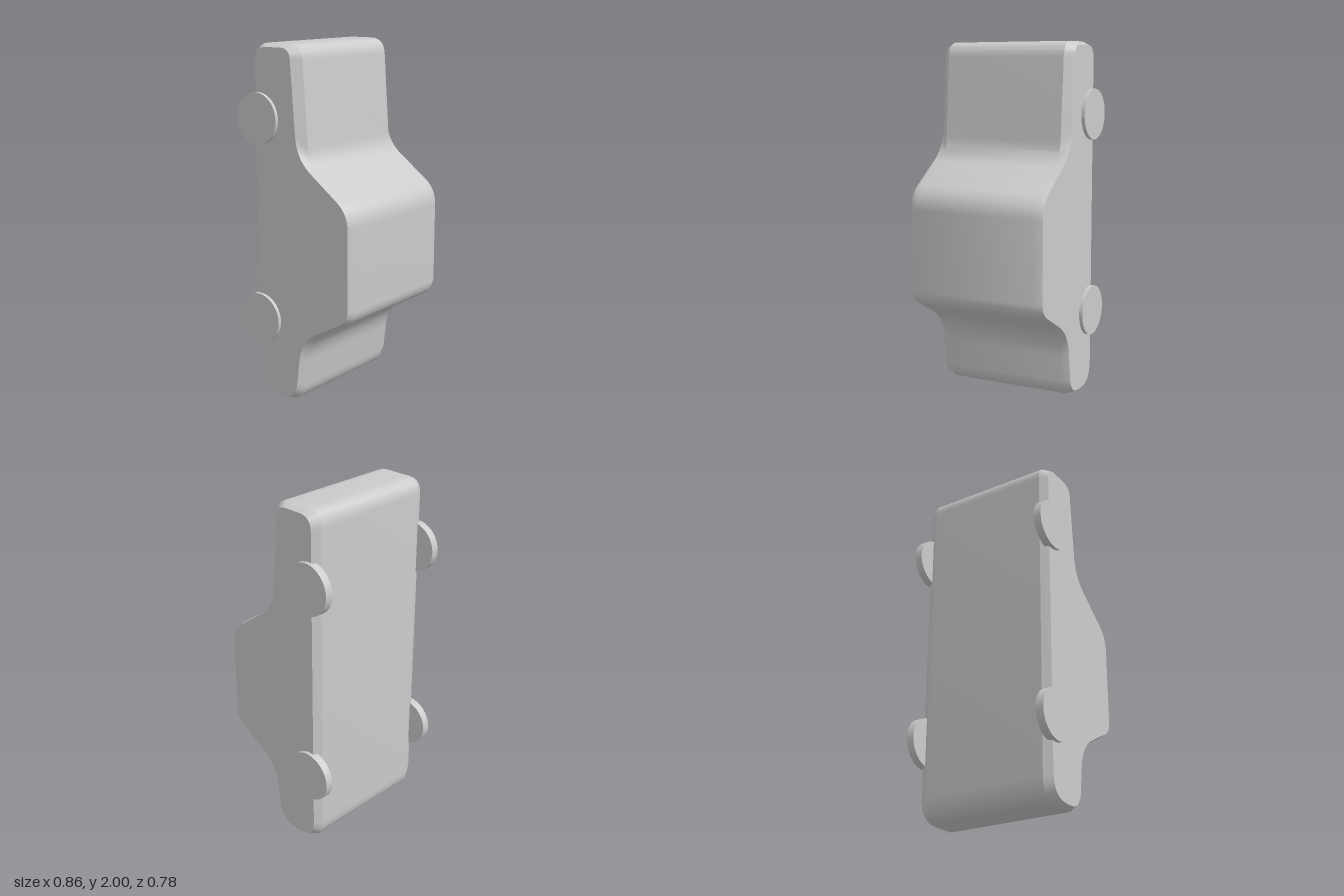
import * as THREE from 'three';
import { toCreasedNormals } from 'three/addons/utils/BufferGeometryUtils.js';

const material = new THREE.MeshStandardMaterial({ color: 0xcccccc });

// Corners are [z, y, rounding distance], running from the underside's tail end round the silhouette.
const outerCorners = [
  [-0.29, 0, 0.13], [0.015, 0, 0.1], [0.065, 0.375, 0.13], [0.39, 0.555, 0.06],
  [0.39, 1.153, 0.09], [0.07, 1.37, 0.09], [0.025, 2, 0.09], [-0.29, 2, 0.09],
];
const innerCorners = [
  [-0.265, 0.02, 0.13], [0, 0.02, 0.1], [0.045, 0.385, 0.13], [0.37, 0.56, 0.06],
  [0.37, 1.15, 0.09], [0.025, 1.4, 0.12], [-0.02, 1.98, 0.06], [-0.265, 1.98, 0.08],
];

// Closed outline with every corner rounded by a quadratic curve
function roundedOutline(corners, steps = 12) {
  const points = corners.map(([z, y]) => new THREE.Vector2(z, y));
  const n = points.length;
  return points.flatMap((p, i) => {
    const toward = (q) => q.clone().sub(p).setLength(corners[i][2]).add(p);
    const start = toward(points[(i + n - 1) % n]);
    const end = toward(points[(i + 1) % n]);
    return new THREE.QuadraticBezierCurve(start, p, end).getPoints(steps);
  });
}

// Loft across the width: flat side, chamfer, full outline, chamfer, flat side
function bodyGeometry() {
  const outer = roundedOutline(outerCorners);
  const inner = roundedOutline(innerCorners);
  const rings = [[-0.41, inner], [-0.363, outer], [0.363, outer], [0.41, inner]];
  const n = outer.length;
  const positions = [];
  const index = [];
  for (const [x, ring] of rings) {
    for (const p of ring) positions.push(x, p.y, p.x);
  }
  for (let r = 0; r < rings.length - 1; r++) {
    for (let i = 0; i < n; i++) {
      const a = r * n + i;
      const b = r * n + ((i + 1) % n);
      index.push(a, a + n, b, b, a + n, b + n);
    }
  }
  const last = (rings.length - 1) * n;
  for (const [a, b, c] of THREE.ShapeUtils.triangulateShape(inner, [])) {
    index.push(a, b, c, last + a, last + c, last + b);
  }
  const geometry = new THREE.BufferGeometry();
  geometry.setAttribute('position', new THREE.Float32BufferAttribute(positions, 3));
  geometry.setIndex(index);
  return toCreasedNormals(geometry, 0.48);
}

export function createModel() {
  const model = new THREE.Group();
  model.name = 'toyCar';

  const body = new THREE.Mesh(bodyGeometry(), material);
  body.name = 'body';
  model.add(body);

  // Four disc wheels, one pair near each end
  const wheelGeometry = new THREE.CylinderGeometry(0.143, 0.143, 0.045, 64).rotateZ(Math.PI / 2);
  for (const [end, y] of [['front', 1.595], ['rear', 0.46]]) {
    for (const [side, sign] of [['Left', 1], ['Right', -1]]) {
      const wheel = new THREE.Mesh(wheelGeometry, material);
      wheel.name = `${end}${side}Wheel`;
      wheel.position.set(sign * 0.408, y, -0.247);
      model.add(wheel);
    }
  }
  return model;
}
